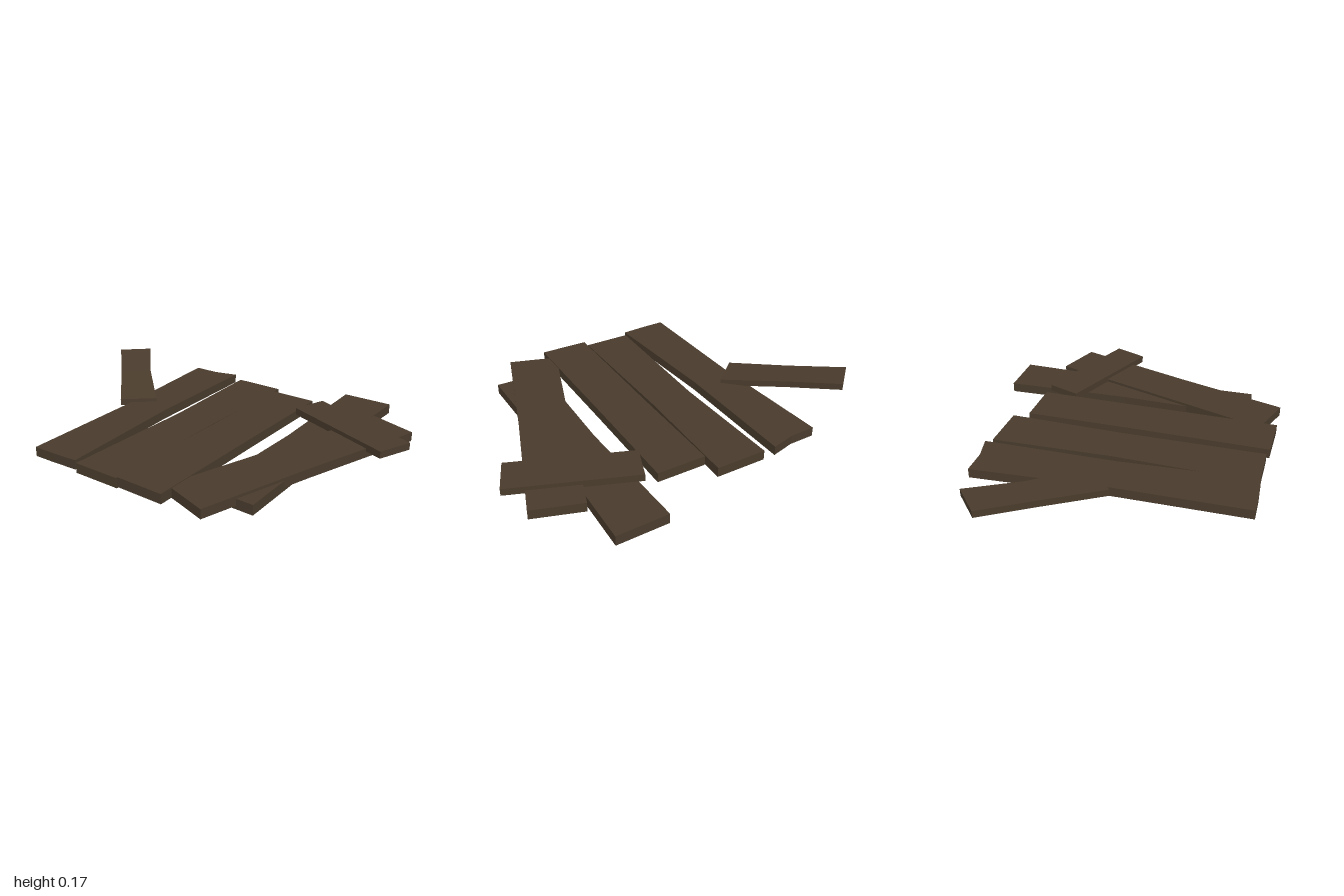
import * as THREE from 'three';

// A plank is an open-bottomed shell. Each row is a cross-section from back to
// front, listing its [x, z] points from left to right in plan.
// lift(i) gives the height of the underside at row i.
function plankGeometry(rows, lift, thickness) {
  const pos = [];
  const point = (i, j, top) => [rows[i][j][0], lift(i) + (top ? thickness : 0), rows[i][j][1]];
  const quad = (a, b, c, d) => pos.push(...a, ...b, ...c, ...a, ...c, ...d);
  const last = rows.length - 1, side = rows[0].length - 1;

  // Top boards
  for (let i = 0; i < last; i++) {
    for (let j = 0; j < side; j++) {
      quad(point(i, j, true), point(i + 1, j, true), point(i + 1, j + 1, true), point(i, j + 1, true));
    }
  }

  // Walls, going round the outline
  const ring = [];
  for (let i = 0; i < last; i++) ring.push([i, 0]);
  for (let j = 0; j < side; j++) ring.push([last, j]);
  for (let i = last; i > 0; i--) ring.push([i, side]);
  for (let j = side; j > 0; j--) ring.push([0, j]);
  ring.forEach((p, k) => {
    const q = ring[(k + 1) % ring.length];
    quad(point(...p, false), point(...q, false), point(...q, true), point(...p, true));
  });

  const geometry = new THREE.BufferGeometry();
  geometry.setAttribute('position', new THREE.Float32BufferAttribute(pos, 3));
  geometry.computeVertexNormals();
  return geometry;
}

export function createModel() {
  const group = new THREE.Group();
  const wood = new THREE.MeshStandardMaterial({ color: 0x4a3c2d, flatShading: true, side: THREE.DoubleSide });
  wood.name = 'dark wood';

  const addPlank = (name, rows, base, thickness, endBase = base) => {
    const lift = (i) => base + (endBase - base) * i / (rows.length - 1);
    const mesh = new THREE.Mesh(plankGeometry(rows, lift, thickness), wood);
    mesh.name = name;
    group.add(mesh);
  };

  // Three floor planks lying side by side
  addPlank('outerFloorPlank', [
    [[-0.56, -0.64], [-0.42, -0.64], [-0.29, -0.67]],
    [[-0.525, 0.05], [-0.41, 0.05], [-0.295, 0.05]],
    [[-0.525, 0.78], [-0.39, 0.78], [-0.26, 0.775]],
  ], 0.02, 0.05);
  addPlank('middleFloorPlank', [
    [[-0.24, -0.65], [0.035, -0.645]],
    [[-0.23, 0], [0.01, 0]],
    [[-0.26, 0.77], [0.003, 0.775]],
  ], 0, 0.053);
  addPlank('innerFloorPlank', [
    [[0.05, -0.555], [0.315, -0.55]],
    [[0.04, 0.05], [0.3, 0.05]],
    [[0.02, 0.79], [0.285, 0.8]],
  ], 0.02, 0.052);

  // Plank underneath the diagonal one
  addPlank('lowerPlank', [
    [[0.405, -0.8], [0.68, -0.8]],
    [[0.415, -0.1], [0.65, -0.1]],
    [[0.385, 0.61], [0.65, 0.62]],
  ], 0, 0.053);

  // Diagonal plank and the short cross plank over it
  addPlank('diagonalPlank', [
    [[0.69, -0.56], [0.94, -0.47]],
    [[0.475, 0.06], [0.7, 0.2]],
    [[0.245, 0.71], [0.5, 0.8]],
  ], 0.018, 0.05);
  addPlank('crossPlank', [
    [[0.38, -0.545], [0.995, -0.295]],
    [[0.31, -0.365], [0.915, -0.115]],
  ], 0.052, 0.038);

  // Loose plank with its far end raised
  addPlank('raisedPlank', [
    [[-1, -0.4], [-0.86, -0.525]],
    [[-0.79, -0.165], [-0.67, -0.295]],
    [[-0.57, 0.095], [-0.415, -0.035]],
  ], 0.138, 0.036, 0.054);

  return group;
}
